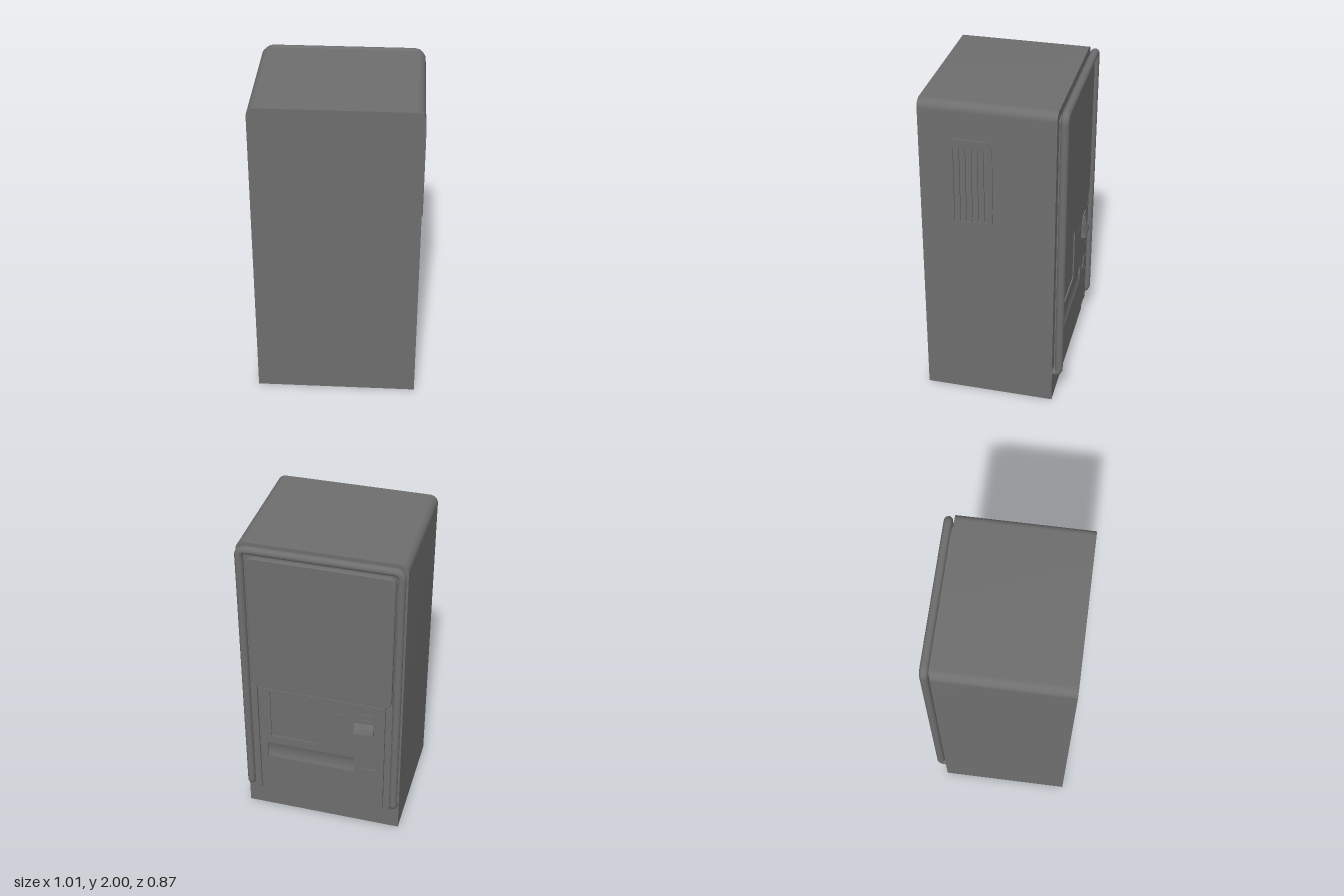
import * as THREE from 'three';
import { toCreasedNormals } from 'three/addons/utils/BufferGeometryUtils.js';

const color = 0x6e6e6e;
const material = new THREE.MeshStandardMaterial({ color });
const openMaterial = new THREE.MeshStandardMaterial({ color, side: THREE.DoubleSide });

// Rectangle outline with separate bottom and top corner radii.
function outline(x0, x1, y0, y1, rBottom = 0, rTop = rBottom, Type = THREE.Shape) {
  const s = new Type();
  s.moveTo(x0 + rBottom, y0);
  s.lineTo(x1 - rBottom, y0);
  if (rBottom) s.absarc(x1 - rBottom, y0 + rBottom, rBottom, -Math.PI / 2, 0);
  s.lineTo(x1, y1 - rTop);
  if (rTop) s.absarc(x1 - rTop, y1 - rTop, rTop, 0, Math.PI / 2);
  s.lineTo(x0 + rTop, y1);
  if (rTop) s.absarc(x0 + rTop, y1 - rTop, rTop, Math.PI / 2, Math.PI);
  s.lineTo(x0, y0 + rBottom);
  if (rBottom) s.absarc(x0 + rBottom, y0 + rBottom, rBottom, Math.PI, Math.PI * 1.5);
  return s;
}

const hole = (x0, x1, y0, y1) => outline(x0, x1, y0, y1, 0, 0, THREE.Path);
const points = (list) => list.map(([x, y]) => new THREE.Vector2(x, y));

// Extrude a shape between two z values, with an optional chamfer kept inside them.
function slab(shape, z0, z1, bevel = 0) {
  const g = new THREE.ExtrudeGeometry(shape, {
    depth: z1 - z0 - 2 * bevel, curveSegments: 8, bevelEnabled: bevel > 0,
    bevelSize: bevel, bevelOffset: -bevel, bevelThickness: bevel, bevelSegments: 1,
  });
  g.translate(0, 0, z0 + bevel);
  return toCreasedNormals(g, 0.6);
}

// Sweep a side profile (distance behind the centre, height) from x0 to x1.
const sweep = (shape, x0, x1) => slab(shape, x0, x1).rotateY(Math.PI / 2);

// Drop the triangles lying on the floor, leaving a hollow shell.
function openBottom(geometry) {
  const p = geometry.attributes.position;
  const kept = [];
  for (let i = 0; i < p.count; i += 3) {
    if (Math.max(p.getY(i), p.getY(i + 1), p.getY(i + 2)) < 1e-4) continue;
    for (let k = i; k < i + 3; k++) kept.push(p.getX(k), p.getY(k), p.getZ(k));
  }
  const g = new THREE.BufferGeometry();
  g.setAttribute('position', new THREE.Float32BufferAttribute(kept, 3));
  return toCreasedNormals(g, 0.6);
}

export function createModel() {
  const model = new THREE.Group();
  model.name = 'vendingMachine';
  const add = (name, geometry, parent = model, mat = material) => {
    const mesh = new THREE.Mesh(geometry, mat);
    mesh.name = name;
    parent.add(mesh);
    return mesh;
  };

  // Cabinet shell, open underneath
  add('cabinet', openBottom(slab(outline(-0.5, 0.5, 0, 2, 0, 0.05), -0.37, 0.434)), model, openMaterial);

  // Door backing and the raised display panel
  const door = new THREE.Group();
  door.name = 'door';
  model.add(door);
  add('doorBacking', slab(outline(-0.446, 0.446, 0.16, 1.95, 0, 0.03), -0.382, -0.365), door);
  add('displayPanel', slab(outline(-0.437, 0.437, 1.0, 1.922, 0.04), -0.41, -0.38, 0.004), door);

  // Control panel with window, tray, slot and coin return openings
  const control = outline(-0.4, 0.4, 0.17, 0.99);
  control.holes.push(
    hole(0.02, 0.325, 0.62, 0.97), hole(-0.212, 0.35, 0.445, 0.56),
    hole(-0.17, -0.075, 0.887, 0.892), hole(-0.35, -0.265, 0.48, 0.56),
  );
  add('controlPanel', slab(control, -0.402, -0.38), door);
  add('windowPane', slab(outline(0.02, 0.325, 0.62, 0.97), -0.394, -0.38), door);
  add('coinReturnFlap', slab(outline(-0.35, -0.265, 0.48, 0.56), -0.394, -0.38), door);
  for (const s of [-1, 1]) {
    add('doorPillar', slab(outline(s * 0.426 - 0.02, s * 0.426 + 0.02, 0.16, 1.0), -0.402, -0.37), door);
  }

  // Shallow concave delivery tray
  const tray = new THREE.Shape(points([[0.375, 0.56], [0.375, 0.445], [0.4, 0.445]]));
  tray.quadraticCurveTo(0.382, 0.5, 0.4, 0.56);
  add('deliveryTray', sweep(tray, -0.212, 0.35), door);

  // Coin unit: wedge-shaped box with a tapered guide above
  const wedge = new THREE.Shape(points([[0.4, 0.772], [0.434, 0.78], [0.434, 0.79], [0.406, 0.847], [0.4, 0.847]]));
  add('coinBox', sweep(wedge, -0.335, -0.212), door);
  const guide = new THREE.Shape(points([[-0.34, 0.872], [-0.222, 0.872], [-0.25, 0.92], [-0.322, 0.92]]));
  guide.holes.push(new THREE.Path(points([[-0.312, 0.88], [-0.302, 0.905], [-0.264, 0.905], [-0.252, 0.88]])));
  add('coinGuide', slab(guide, -0.409, -0.4), door);

  // Rounded tube frame whose lower ends bend back into the cabinet
  const v = (x, y, z = -0.407) => new THREE.Vector3(x, y, z);
  const path = new THREE.CurvePath();
  const line = (a, b) => path.add(new THREE.LineCurve3(a, b));
  const bend = (a, b, c) => path.add(new THREE.QuadraticBezierCurve3(a, b, c));
  const fx = 0.47, top = 1.975, low = 0.205, r = 0.045;
  line(v(-fx, low, -0.36), v(-fx, low, -0.375));
  bend(v(-fx, low, -0.375), v(-fx, low), v(-fx, low + 0.03));
  line(v(-fx, low + 0.03), v(-fx, top - r));
  bend(v(-fx, top - r), v(-fx, top), v(-fx + r, top));
  line(v(-fx + r, top), v(fx - r, top));
  bend(v(fx - r, top), v(fx, top), v(fx, top - r));
  line(v(fx, top - r), v(fx, low + 0.03));
  bend(v(fx, low + 0.03), v(fx, low), v(fx, low, -0.375));
  line(v(fx, low, -0.375), v(fx, low, -0.36));
  add('tubeFrame', new THREE.TubeGeometry(path, 420, 0.025, 14), door);

  // Side vent: chamfered plate cut by six upright slots
  const w = 0.13, h = 0.295, cx = 0.03, cy = 0.06;
  const plate = new THREE.Shape(points([[-w + cx, -h], [w - cx, -h], [w, -h + cy], [w, h - cy],
    [w - cx, h], [-w + cx, h], [-w, h - cy], [-w, -h + cy]]));
  for (let i = 0; i < 6; i++) {
    const x = -0.09 + i * 0.036;
    plate.holes.push(hole(x - 0.009, x + 0.009, -0.24, 0.24));
  }
  const vent = add('sideVent', slab(plate, -0.004, 0.01));
  vent.position.set(0.5, 1.488, 0.13);
  vent.rotation.y = Math.PI / 2;

  // Shift so the whole, vent included, is centred
  model.position.x = -0.005;
  return model;
}
